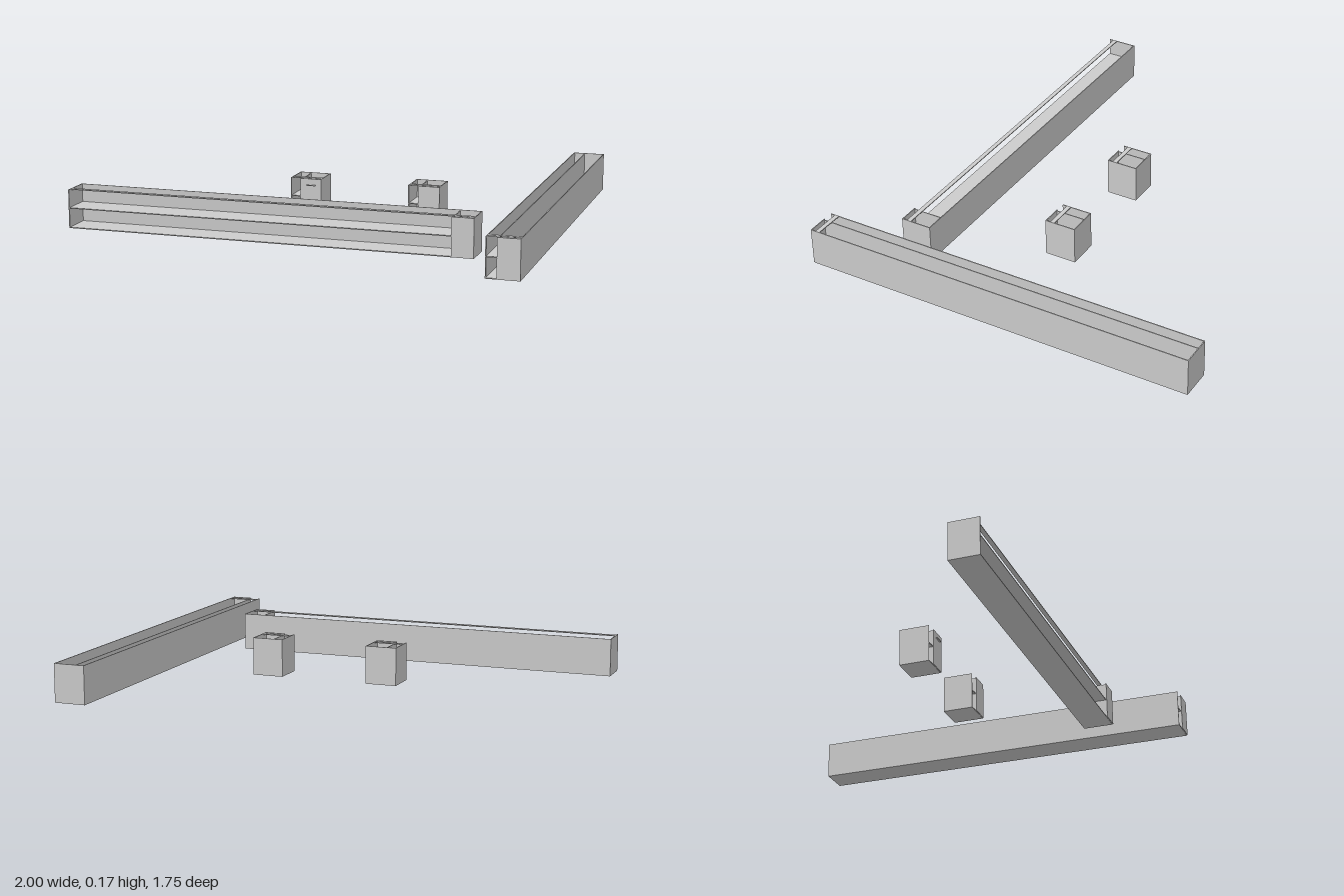
import * as THREE from 'three';

const mat = new THREE.MeshStandardMaterial({ color: 0xcccccc, flatShading: true });
const H = 0.165;      // cabinet height
const T = 0.004;      // board thickness
const CLOSED = 0.092; // width of the section behind the front panel

// Board given by its minimum and maximum corners
function board(parent, name, x0, x1, y0, y1, z0, z1) {
  const mesh = new THREE.Mesh(new THREE.BoxGeometry(x1 - x0, y1 - y0, z1 - z0), mat);
  mesh.position.set((x0 + x1) / 2, (y0 + y1) / 2, (z0 + z1) / 2);
  mesh.name = name;
  parent.add(mesh);
}

// Open-topped cabinet: shelved open section on one side, panelled section on the other
function cabinet(name, x0, x1, z0, z1) {
  const g = new THREE.Group();
  g.name = name;
  const split = x1 - CLOSED;
  const front = z1 - T; // front edge of the carcass
  board(g, 'floor', x0, x1, 0, T, z0, front);
  board(g, 'backWall', x0, x1, T, H, z0, z0 + T);
  board(g, 'leftEndWall', x1 - T, x1, T, H, z0 + T, front);
  board(g, 'rightEndWall', x0, x0 + T, T, H, z0 + T, front);
  board(g, 'partition', split, split + T, T, H - T, z0 + T, front);
  board(g, 'shelf', x0 + T, split, 0.084, 0.084 + T, z0 + T, front);
  // narrow stretcher lying across the open top
  board(g, 'topRail', x0 + T, x1 - T, H - T, H, z1 - 0.042, z1 - 0.023);
  board(g, 'frontPanel', split, x1, 0.002, H, front, z1);
  return g;
}

export function createModel() {
  const model = new THREE.Group();
  model.name = 'cabinetSet';
  const small = cabinet('smallCabinet', -0.195, -0.057, -0.072, 0.067);
  board(small, 'handle', -0.12, -0.082, 0.135, 0.139, 0.067, 0.074);
  model.add(
    small,
    cabinet('secondSmallCabinet', 0.332, 0.47, -0.072, 0.067),
    cabinet('wideCabinet', -1, 0.75, 0.455, 0.592),
    cabinet('deepCabinet', 0.862, 1, -0.876, 0.874)
  );
  return model;
}
